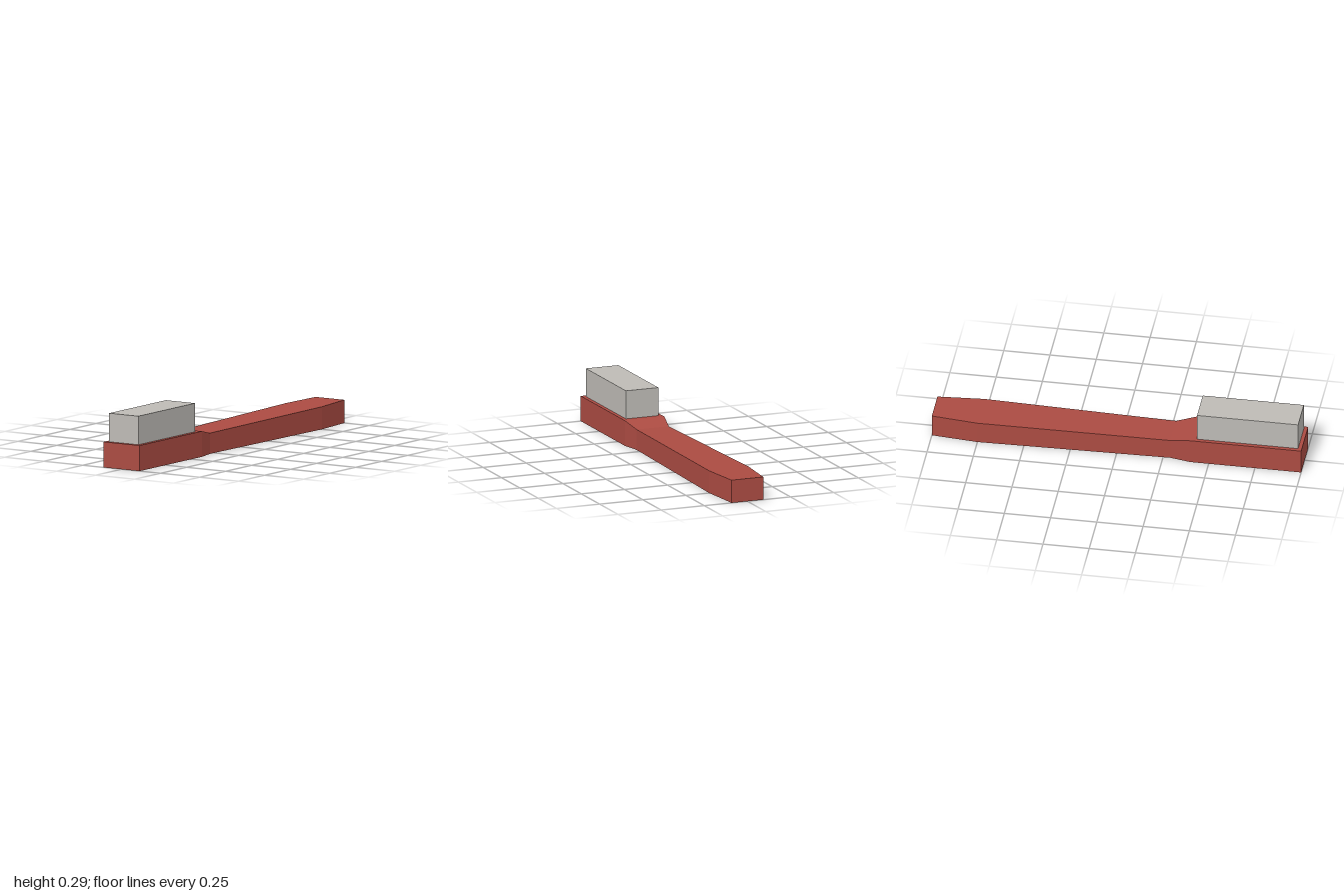
import * as THREE from 'three';

export function createModel() {
  const model = new THREE.Group();
  model.name = 'scrubBrush';

  const red = new THREE.MeshStandardMaterial({ color: 0xab4b42 });
  red.name = 'red handle';
  const grey = new THREE.MeshStandardMaterial({ color: 0xbdbab5 });
  grey.name = 'grey bristles';

  // Handle cross-sections from tail to head: z, half width, height
  const sections = [
    [-1, 0.092, 0.125],
    [-0.75, 0.115, 0.122],
    [0.29, 0.093, 0.112],
    [0.4, 0.115, 0.138],
    [1, 0.115, 0.138],
  ];
  const steps = sections.length - 1;

  // Segmented box whose rings are moved onto the cross-sections
  const box = new THREE.BoxGeometry(2, 1, steps, 1, 1, steps);
  const p = box.attributes.position;
  for (let i = 0; i < p.count; i++) {
    const [z, halfWidth, height] = sections[Math.round(p.getZ(i) + steps / 2)];
    p.setXYZ(i, p.getX(i) * halfWidth, (p.getY(i) + 0.5) * height, z);
  }
  const handleGeometry = box.toNonIndexed(); // faceted normals
  handleGeometry.computeVertexNormals();
  const handle = new THREE.Mesh(handleGeometry, red);
  handle.name = 'handle';
  model.add(handle);

  // Bristle block on the head
  const bristles = new THREE.Mesh(new THREE.BoxGeometry(0.188, 0.154, 0.546), grey);
  bristles.name = 'bristles';
  bristles.position.set(0, 0.215, 0.707);
  model.add(bristles);

  return model;
}
